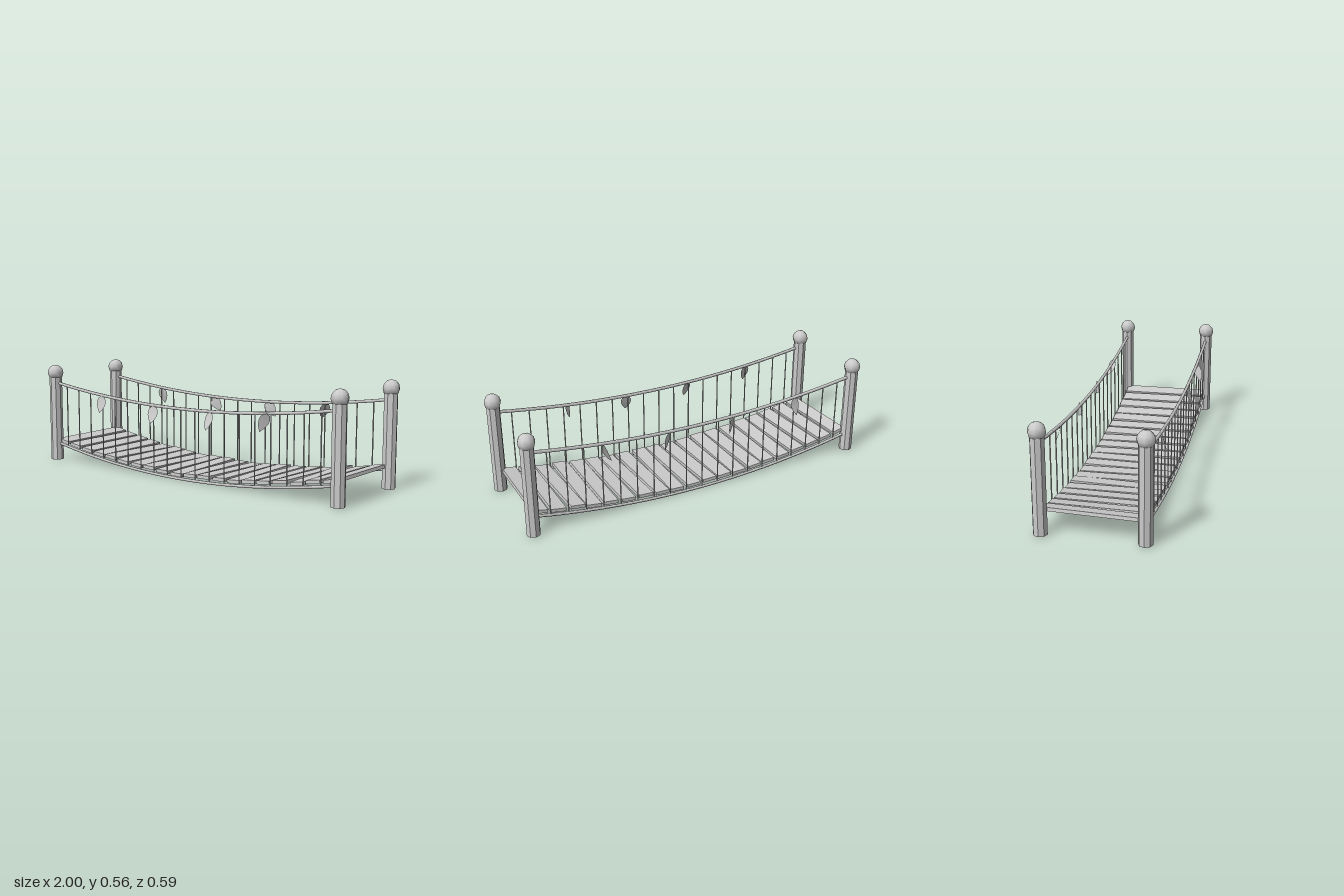
import * as THREE from 'three';

export function createModel() {
  const root = new THREE.Group();
  root.name = 'ropeBridge';
  const grey = new THREE.MeshStandardMaterial({ color: 0xcccccc, side: THREE.DoubleSide });
  grey.name = 'lightGrey';

  const END = 0.955, SIDE = 0.25, COUNT = 20, STEP = (2 * END) / COUNT;
  const deckY = x => 0.009 + 0.105 * x * x;
  const railY = x => 0.383 + 0.083 * x * x;

  // small seeded generator for the plank irregularity, in -1..1
  let seed = 7;
  const jitter = () => {
    seed = (seed * 16807) % 2147483647;
    return (seed / 2147483647) * 2 - 1;
  };

  const add = (name, geometry, x = 0, y = 0, z = 0) => {
    const mesh = new THREE.Mesh(geometry, grey);
    mesh.name = name;
    mesh.position.set(x, y, z);
    root.add(mesh);
    return mesh;
  };

  // octagonal posts with ball caps
  const postGeo = new THREE.CylinderGeometry(0.036, 0.036, 0.486, 8).toNonIndexed();
  postGeo.computeVertexNormals();
  const ballGeo = new THREE.SphereGeometry(0.045, 8, 6);
  for (const sx of [-1, 1]) for (const sz of [-1, 1]) {
    add('post', postGeo, sx * END, 0.247, sz * SIDE);
    add('postBall', ballGeo, sx * END, 0.515, sz * SIDE);
  }

  // sagging ropes
  const rope = (height, radius) => {
    const points = [];
    for (let i = 0; i <= COUNT; i++) {
      const x = -END + i * STEP;
      points.push(new THREE.Vector3(x, height(x), 0));
    }
    return new THREE.TubeGeometry(new THREE.CatmullRomCurve3(points), 40, radius, 6);
  };
  const deckRopeGeo = rope(deckY, 0.008);
  const railRopeGeo = rope(railY, 0.009);
  for (const sz of [-1, 1]) {
    add('deckRope', deckRopeGeo, 0, 0, sz * SIDE);
    add('handRope', railRopeGeo, 0, 0, sz * SIDE);

    // hanger cords
    for (let i = 1; i < COUNT; i++) {
      const x = -END + i * STEP;
      const h = railY(x) - deckY(x);
      add('hangerCord', new THREE.CylinderGeometry(0.0035, 0.0035, h, 5), x, deckY(x) + h / 2, sz * SIDE);
    }
  }

  // planks following the sag, each slightly crooked
  for (let i = 0; i < COUNT; i++) {
    const x = -END + (i + 0.5) * STEP;
    const width = 0.08 + 0.004 * jitter();
    const plank = add('plank', new THREE.BoxGeometry(width, 0.018, 0.485), x, deckY(x) + 0.02, 0);
    plank.rotation.set(0.022 * jitter(), 0.03 * jitter(), Math.atan(0.21 * x));
  }

  // hanging leaves, folded a little along the midrib
  const outline = new THREE.Shape();
  outline.moveTo(0, 0);
  outline.bezierCurveTo(0.042, -0.012, 0.036, -0.06, 0, -0.1);
  outline.bezierCurveTo(-0.036, -0.06, -0.042, -0.012, 0, 0);
  const leafGeo = new THREE.ShapeGeometry(outline, 5);
  const p = leafGeo.attributes.position;
  for (let i = 0; i < p.count; i++) p.setZ(i, -0.2 * Math.abs(p.getX(i)));
  leafGeo.computeVertexNormals();

  // x, side, yaw, outward lean, sideways roll
  const leaves = [
    [-0.573, 1, 0.2, 0.2, 0], [-0.185, 1, 0.3, 0.3, 0.05],
    [0.2, 1, -0.2, 0.3, -0.08], [0.56, 1, 0.9, 0.25, -0.35],
    [-0.573, -1, 0.2, 0.25, 0], [-0.191, -1, 0.6, 0.25, 0.5],
    [0.191, -1, 0.6, 0.25, 0.5], [0.573, -1, 1.0, 0.25, -0.4],
  ];
  for (const [x, side, yaw, lean, roll] of leaves) {
    const leaf = add('leaf', leafGeo, x, railY(x), side * (SIDE + 0.007));
    leaf.rotation.order = 'ZXY';
    leaf.rotation.set(-side * lean, yaw + (side < 0 ? Math.PI : 0), roll);
  }

  return root;
}
